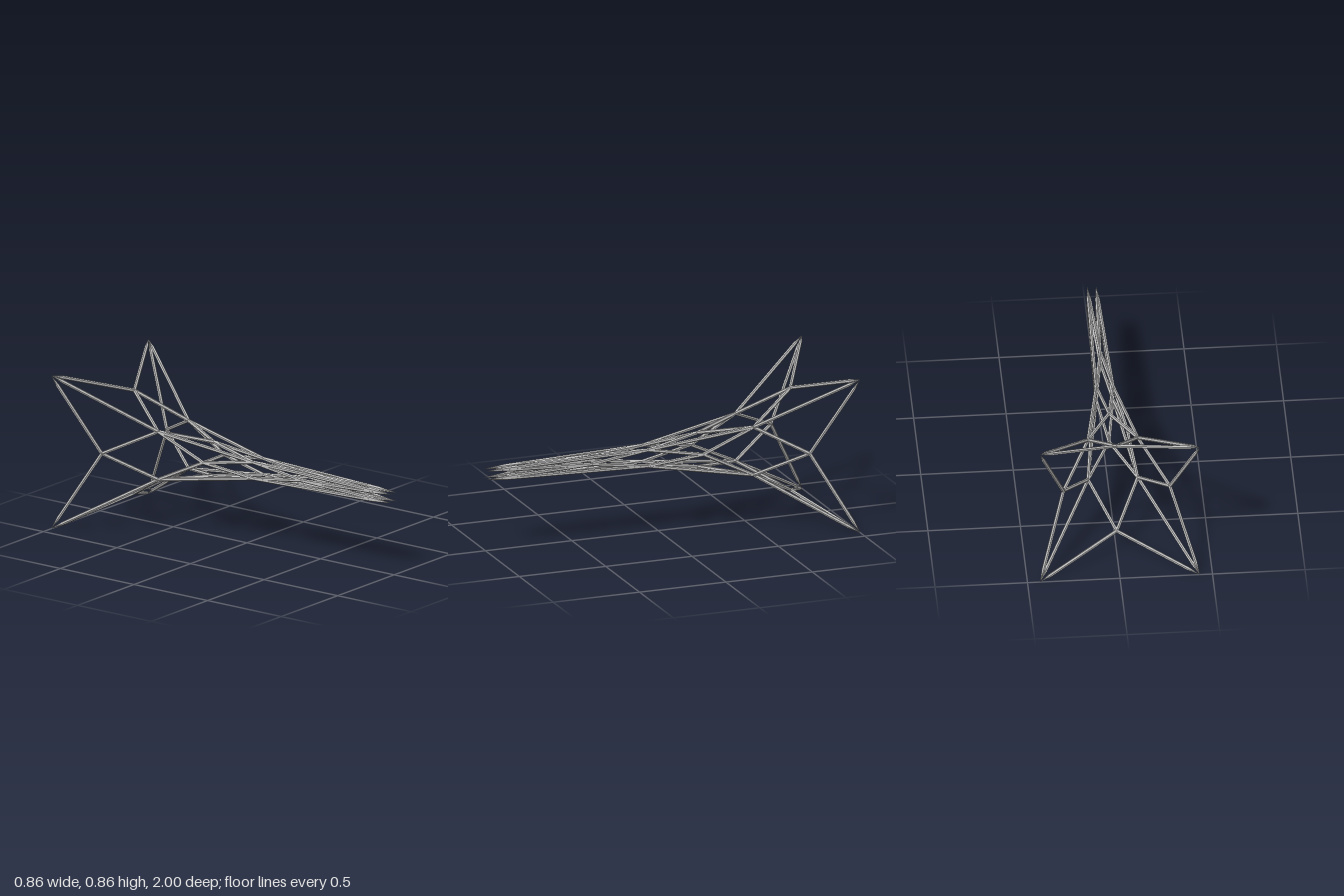
import * as THREE from 'three';

const CENTER_Y = 0.4315;
const RADIUS = 0.0105;
const steel = new THREE.MeshStandardMaterial({ color: 0xbcbcbc });
steel.name = 'lightSteelGrey';

// Rings of four nodes, alternating between the corners and the side midpoints
const RINGS = [
  { r: 0.61, z: -1.0, corner: true, point: 0.07 },
  { r: 0.288, z: -0.765, corner: false },
  { r: 0.19, z: -0.5, corner: true },
  { r: 0.095, z: -0.225, corner: false },
  { r: 0.064, z: 0.08, corner: true },
  { r: 0.036, z: 0.4, corner: false },
  { r: 0.034, z: 1.0, corner: true, point: 0.13 },
];

function node(ring, i) {
  const a = (i + (ring.corner ? 0.5 : 0)) * Math.PI / 2;
  return new THREE.Vector3(Math.cos(a) * ring.r, Math.sin(a) * ring.r, ring.z);
}

function faceted(geometry) {
  const g = geometry.index ? geometry.toNonIndexed() : geometry;
  g.computeVertexNormals();
  return g;
}

// Six-sided rod from a to b; an end with a point length is sharpened
function strut(name, a, b, pointA = 0, pointB = 0) {
  const length = a.distanceTo(b);
  const profile = [
    new THREE.Vector2(0, 0),
    new THREE.Vector2(RADIUS, pointA),
    new THREE.Vector2(RADIUS, length - pointB),
    new THREE.Vector2(0, length),
  ];
  const mesh = new THREE.Mesh(faceted(new THREE.LatheGeometry(profile, 6)), steel);
  mesh.name = name;
  mesh.position.copy(a);
  mesh.quaternion.setFromUnitVectors(new THREE.Vector3(0, 1, 0), b.clone().sub(a).normalize());
  return mesh;
}

export function createModel() {
  const model = new THREE.Group();
  model.name = 'latticeSpire';
  const frame = new THREE.Group();
  frame.name = 'frame';
  frame.position.y = CENTER_Y;
  model.add(frame);

  // Each bay runs from one corner ring, past a side ring, to the next corner ring
  for (let k = 0; k + 2 < RINGS.length; k += 2) {
    const [back, side, front] = RINGS.slice(k, k + 3);
    const bay = new THREE.Group();
    bay.name = `bay${k / 2 + 1}`;
    for (let i = 0; i < 4; i++) {
      const outer = node(back, i);
      const inner = node(front, i);
      bay.add(strut('longStrut', outer, inner, back.point, front.point));
      for (const j of [i, i + 1]) {
        const mid = node(side, j);
        bay.add(strut('backBrace', outer, mid, back.point, 0));
        bay.add(strut('frontBrace', mid, inner, 0, front.point));
      }
    }
    frame.add(bay);
  }

  // Small knuckles close the joints between struts
  const knuckle = faceted(new THREE.IcosahedronGeometry(RADIUS, 1));
  for (const ring of RINGS.filter((r) => !r.point)) {
    for (let i = 0; i < 4; i++) {
      const joint = new THREE.Mesh(knuckle, steel);
      joint.name = 'joint';
      joint.position.copy(node(ring, i));
      frame.add(joint);
    }
  }
  return model;
}
